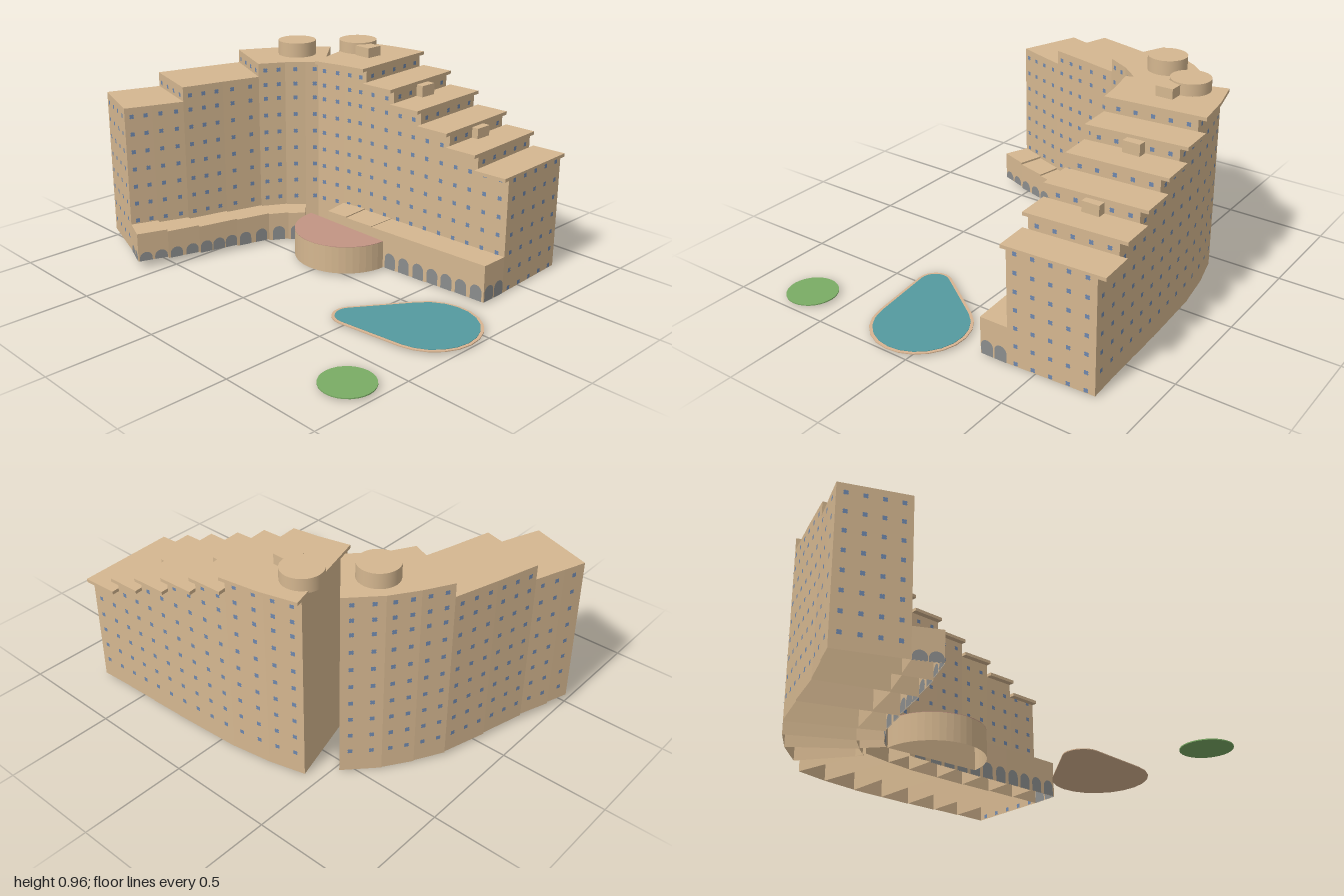
import * as THREE from 'three';
import { mergeGeometries } from 'three/addons/utils/BufferGeometryUtils.js';

const material = (name, color) => {
  const m = new THREE.MeshStandardMaterial({ color, side: THREE.DoubleSide });
  m.name = name;
  return m;
};

// Wing cross-sections: [back, tower front, podium front], each [x, z]
const EAST = [
  [[-0.44, -0.70], [-0.31, -0.24]],
  [[-0.27, -0.745], [-0.165, -0.275], [-0.145, -0.17]],
  [[-0.08, -0.775], [-0.04, -0.295], [-0.03, -0.18]],
  [[0.09, -0.785], [0.13, -0.305], [0.13, -0.19]],
  [[0.26, -0.795], [0.29, -0.315], [0.29, -0.20]],
  [[0.43, -0.803], [0.46, -0.322], [0.46, -0.21]],
  [[0.59, -0.81], [0.62, -0.33], [0.62, -0.22]],
  [[0.76, -0.82], [0.785, -0.34], [0.785, -0.23]],
];
const WEST = [
  [[-0.525, -0.55], [-0.31, -0.30]],
  [[-0.65, -0.417], [-0.375, -0.235], [-0.29, -0.15]],
  [[-0.73, -0.295], [-0.44, -0.16], [-0.345, -0.085]],
  [[-0.80, -0.165], [-0.505, -0.045], [-0.395, 0]],
  [[-0.86, 0.045], [-0.555, 0.14], [-0.44, 0.17]],
  [[-0.915, 0.255], [-0.605, 0.34], [-0.487, 0.365]],
  [[-0.965, 0.40], [-0.655, 0.485], [-0.53, 0.52]],
  [[-1, 0.505], [-0.70, 0.61], [-0.58, 0.66]],
];
const EAST_TOP = [0.91, 0.91, 0.84, 0.77, 0.70, 0.635, 0.565];
const WEST_TOP = [0.895, 0.895, 0.895, 0.83, 0.83, 0.76, 0.76];
const EAST_BASE = [0.005, 0.005, 0.003, 0.003, 0.005, 0.008, 0.01];
const WEST_BASE = [0.005, 0.008, 0.012, 0.018, 0.025, 0.032, 0.04];
const WINDOW_ROWS = [0.024, 0.11, 0.197, 0.284, 0.37, 0.457, 0.544, 0.631, 0.717, 0.787, 0.86];

const lerp = (a, b, t) => [a[0] + (b[0] - a[0]) * t, a[1] + (b[1] - a[1]) * t];
const rows = (low, high) => WINDOW_ROWS.filter((y) => y > low && y < high - 0.02);

// Upright prism over a plan polygon; open below unless closed is set
function prism(plan, y0, y1, closed = false) {
  let area = 0;
  plan.forEach((p, i) => {
    const q = plan[(i + 1) % plan.length];
    area += q[0] * p[1] - p[0] * q[1];
  });
  const pts = area < 0 ? [...plan].reverse() : plan;
  const pos = [];
  const tri = (...vs) => vs.forEach(([p, y]) => pos.push(p[0], y, p[1]));
  pts.forEach((a, i) => {
    const b = pts[(i + 1) % pts.length];
    tri([a, y0], [b, y0], [b, y1]);
    tri([a, y0], [b, y1], [a, y1]);
    if (i > 0 && i < pts.length - 1) {
      tri([pts[0], y1], [a, y1], [b, y1]);
      if (closed) tri([pts[0], y0], [b, y0], [a, y0]);
    }
  });
  const g = new THREE.BufferGeometry();
  g.setAttribute('position', new THREE.Float32BufferAttribute(pos, 3));
  g.computeVertexNormals();
  return g;
}

// Pair of flat faces, one on each side of the wall
function plate(shape) {
  const face = new THREE.ShapeGeometry(shape, 6);
  return mergeGeometries([face.clone().translate(0, 0, 0.002), face.clone().rotateY(Math.PI).translate(0, 0, -0.002)]);
}

function windowPlate() {
  const pts = [];
  for (let i = 0; i < 16; i++) {
    const a = (i / 16) * Math.PI * 2;
    const r = 0.0085 + 0.0045 * Math.abs(Math.sin(2 * a));
    pts.push(new THREE.Vector2(r * Math.cos(a), r * Math.sin(a)));
  }
  return plate(new THREE.Shape(pts));
}

// Arch with its crown at a fixed level, cut off by the ground at base
function archPlate(base) {
  const s = new THREE.Shape();
  s.moveTo(-0.031, base).lineTo(0.031, base).lineTo(0.031, 0.054);
  s.absellipse(0, 0.054, 0.031, 0.03, 0, Math.PI, false, 0);
  return plate(s);
}

// Copies of a plate spread along a wall from a to b at the given heights
function spread(list, proto, a, b, spacing, heights) {
  const n = Math.max(1, Math.round(Math.hypot(b[0] - a[0], b[1] - a[1]) / spacing));
  const turn = Math.atan2(a[1] - b[1], b[0] - a[0]);
  for (let i = 0; i < n; i++) {
    const [x, z] = lerp(a, b, (i + 0.5) / n);
    for (const y of heights) list.push(proto.clone().rotateY(turn).translate(x, y, z));
  }
}

export function createModel() {
  const model = new THREE.Group();
  const stone = material('sandstone', 0xd5b790);
  const glass = material('window blue', 0x6f88ae);
  const archGrey = material('arch grey', 0x8b8d8d);
  const pink = material('terrace pink', 0xc29483);
  const teal = material('pool water', 0x549a9f);
  const coping = material('pool coping', 0xd8b491);
  const green = material('lawn green', 0x7aac64);
  const add = (name, geo, mat, parent = model) => {
    const m = new THREE.Mesh(geo, mat);
    m.name = name;
    parent.add(m);
  };

  // Stepped hotel wings
  const win = windowPlate();
  function wing(name, sections, tops, bases, podiumTops, slabs) {
    const group = new THREE.Group();
    group.name = name;
    const towers = [], roofs = [], podiums = [], windows = [], arches = [];
    const walls = sections.map(([b, f]) => (slabs ? [lerp(b, f, 0.075), lerp(b, f, 0.94)] : [b, f]));
    tops.forEach((top, i) => {
      const [b0, f0] = walls[i], [b1, f1] = walls[i + 1];
      const s0 = sections[i], s1 = sections[i + 1], base = bases[i];
      towers.push(prism([b0, b1, f1, f0], base, slabs ? top - 0.006 : top));
      if (slabs) roofs.push(prism([s0[0], s1[0], s1[1], s0[1]], top - 0.016, top, true));
      spread(windows, win, b0, b1, 0.078, rows(0.05, top));
      spread(windows, win, f0, f1, 0.078, rows(0.19, top));
      // Riser above the next step
      const next = tops[i + 1];
      if (next < top) spread(windows, win, b1, f1, 0.08, [next + 0.025]);
      // Arcaded podium bay
      if (s0[2]) {
        podiums.push(prism([f0, f1, s1[2], s0[2]], base, podiumTops[i]));
        spread(arches, archPlate(base), s0[2], s1[2], 0.078, [0]);
      }
    });
    // Free end of the wing
    const [be, fe] = walls.at(-1);
    const endBase = bases.at(-1);
    spread(windows, win, be, fe, 0.078, rows(endBase + 0.01, tops.at(-1)));
    spread(arches, archPlate(endBase), fe, sections.at(-1)[2], 0.07, [0]);
    add('towerWalls', mergeGeometries(towers), stone, group);
    add('podium', mergeGeometries(podiums), stone, group);
    if (slabs) add('roofSlabs', mergeGeometries(roofs), stone, group);
    add('windows', mergeGeometries(windows), glass, group);
    add('arches', mergeGeometries(arches), archGrey, group);
    model.add(group);
  }
  wing('leftWing', EAST, EAST_TOP, EAST_BASE, [0, 0.195, 0.19, 0.187, 0.187, 0.187, 0.187], true);
  wing('rightWing', WEST, WEST_TOP, WEST_BASE, [0, 0.15, 0.153, 0.157, 0.162, 0.17, 0.18], false);

  // Rooftop drums and stair boxes
  for (const [x, z, y] of [[-0.335, -0.56, 0.9], [-0.537, -0.33, 0.885]]) {
    add('roofDrum', new THREE.CylinderGeometry(0.094, 0.094, 0.966 - y, 32).translate(x, (y + 0.966) / 2, z), stone);
  }
  for (const [x, z, w, d, y0, y1] of [
    [-0.22, -0.515, 0.09, 0.085, 0.9, 0.958],
    [0.13, -0.55, 0.042, 0.085, 0.76, 0.825],
    [0.46, -0.565, 0.042, 0.085, 0.62, 0.685],
  ]) {
    add('roofBox', new THREE.BoxGeometry(w, y1 - y0, d).translate(x, (y0 + y1) / 2, z), stone);
  }

  // Half-round terrace
  const half = [];
  for (let i = 0; i <= 24; i++) {
    const a = (i / 24) * Math.PI;
    half.push([-0.02 + 0.248 * Math.cos(a), -0.17 + 0.25 * Math.sin(a)]);
  }
  add('terraceWall', prism(half, 0.015, 0.148), stone);
  add('terraceFloor', prism(half, 0.147, 0.15, true), pink);

  // Teardrop pool: outline wrapped round a small and a large circle
  function poolShape(inset) {
    const s = [0.475, -0.29, 0.085 - inset], l = [0.77, -0.11, 0.228 - inset];
    const dx = l[0] - s[0], dy = l[1] - s[1];
    const dir = Math.atan2(dy, dx), b = Math.acos((s[2] - l[2]) / Math.hypot(dx, dy));
    const pts = [];
    const arc = ([cx, cy, r], from, to, n) => {
      for (let i = 0; i <= n; i++) {
        const a = from + ((to - from) * i) / n;
        pts.push(new THREE.Vector2(cx + r * Math.cos(a), cy + r * Math.sin(a)));
      }
    };
    arc(l, dir - b, dir + b, 14);
    arc(s, dir + b, dir + 2 * Math.PI - b, 8);
    return new THREE.Shape(pts);
  }
  const flat = (inset, depth, y) =>
    new THREE.ExtrudeGeometry(poolShape(inset), { depth, bevelEnabled: false }).rotateX(-Math.PI / 2).translate(0, y, 0);
  add('poolBasin', flat(0, 0.004, 0.012), coping);
  add('poolWater', flat(0.014, 0.004, 0.014), teal);

  // Round lawn
  add('lawn', new THREE.CylinderGeometry(0.119, 0.119, 0.005, 28).translate(0.857, 0.016, 0.692), green);
  return model;
}
